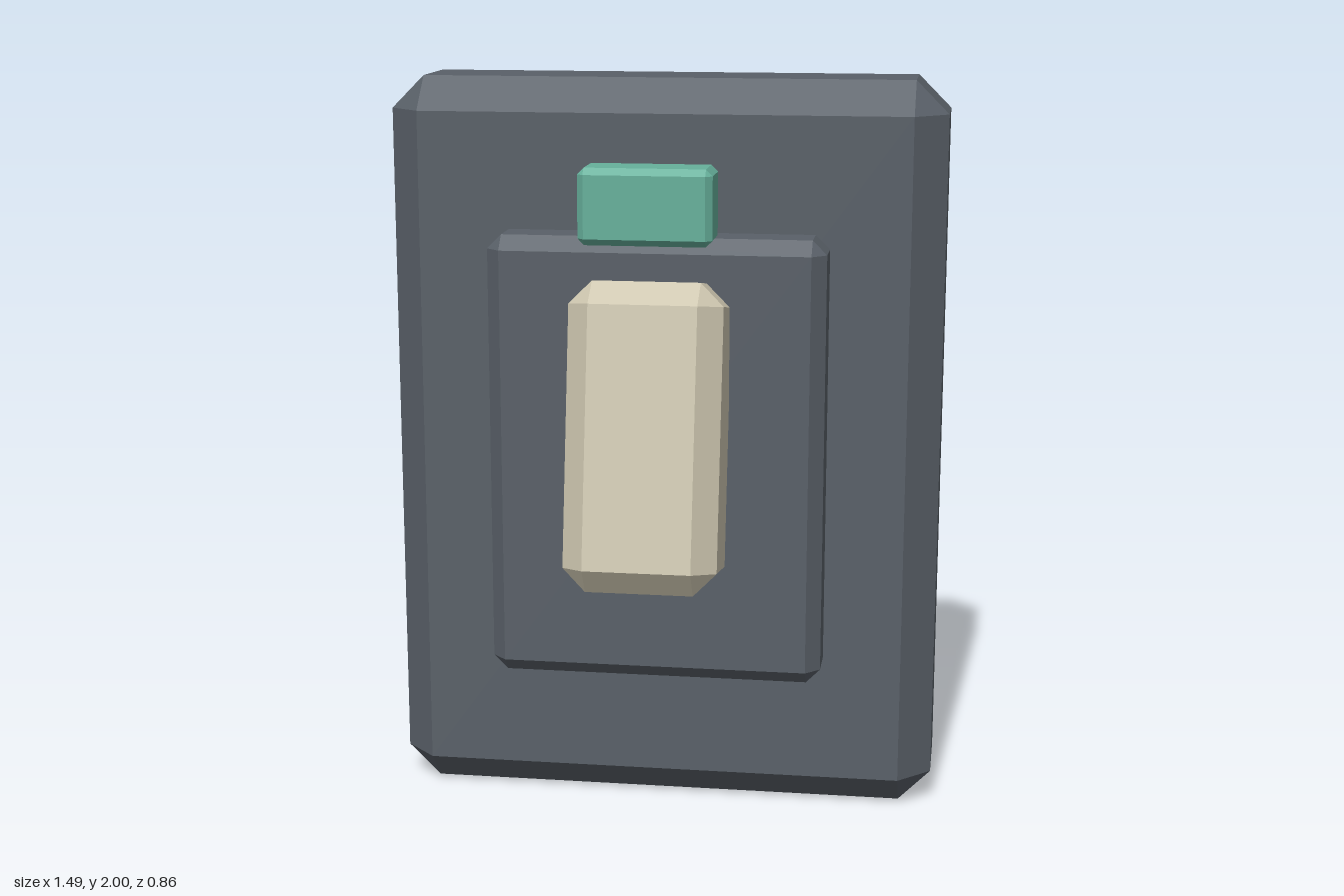
import * as THREE from 'three';
import { ConvexGeometry } from 'three/addons/geometries/ConvexGeometry.js';

// Box with flat chamfered edges and triangular corners
function chamferBox(w, h, d, b) {
  const x = w / 2, y = h / 2, z = d / 2;
  const points = [];
  for (const sx of [-1, 1]) for (const sy of [-1, 1]) for (const sz of [-1, 1]) {
    points.push(
      new THREE.Vector3(sx * x, sy * (y - b), sz * (z - b)),
      new THREE.Vector3(sx * (x - b), sy * y, sz * (z - b)),
      new THREE.Vector3(sx * (x - b), sy * (y - b), sz * z)
    );
  }
  return new ConvexGeometry(points);
}

function material(name, color) {
  const m = new THREE.MeshStandardMaterial({ color });
  m.name = name;
  return m;
}

export function createModel() {
  const group = new THREE.Group();
  const slate = material('slate grey', 0x596068);
  const cream = material('cream', 0xcec7b0);
  const green = material('indicator green', 0x66b09b);

  function add(name, size, bevel, position, mat) {
    const mesh = new THREE.Mesh(chamferBox(...size, bevel), mat);
    mesh.name = name;
    mesh.position.set(...position);
    group.add(mesh);
    return mesh;
  }

  // Wall plate and the raised panel on its front
  add('wallPlate', [1.494, 2, 0.396], 0.088, [0, 1, -0.23], slate);
  add('raisedPanel', [0.896, 1.2, 0.18], 0.038, [0, 1.003, 0.03], slate);

  // Rocker lever, its lower end tilted forward
  const lever = add('switchLever', [0.4, 0.8, 0.3], 0.06, [0, 1.103, 0.223], cream);
  lever.rotation.x = -THREE.MathUtils.degToRad(10);

  // Indicator lamp above the lever
  add('indicatorLamp', [0.344, 0.196, 0.146], 0.017, [0, 1.704, 0.212], green);

  return group;
}
